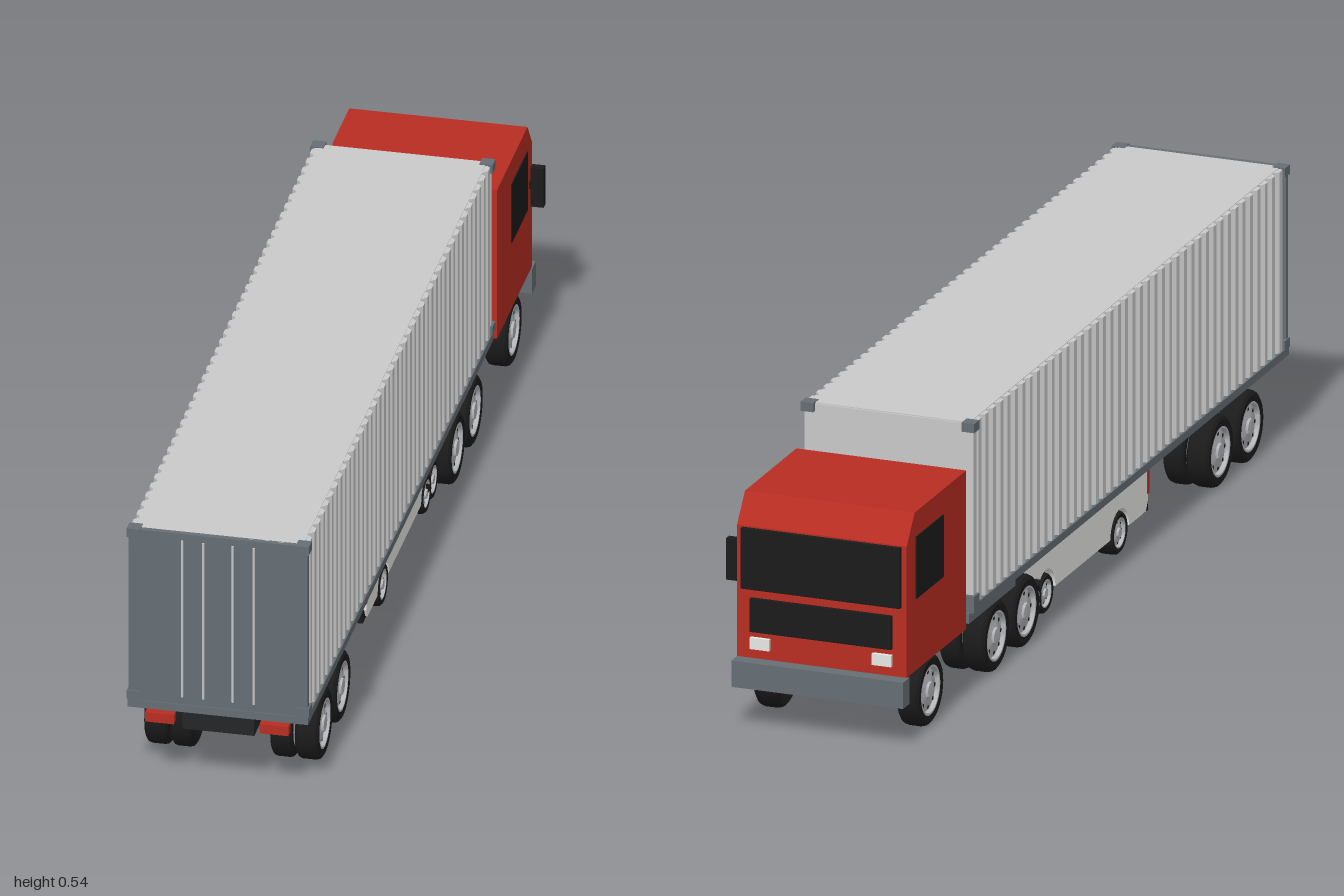
import * as THREE from 'three';
import { toCreasedNormals } from 'three/addons/utils/BufferGeometryUtils.js';

const mat = (name, color) => new THREE.MeshStandardMaterial({ name, color });

export function createModel() {
  const M = {
    light: mat('containerGrey', 0xc9c9c9), slate: mat('slateGrey', 0x666e74),
    red: mat('cabRed', 0xb82d22), black: mat('rubberBlack', 0x1b1b1b),
    dark: mat('chassisBlack', 0x242628), silver: mat('wheelSilver', 0xb4b6ba),
    white: mat('busWhite', 0xeeeeec), blue: mat('stripeBlue', 0x2a68a8),
  };
  const model = new THREE.Group();
  model.name = 'containerTruck';
  const truck = new THREE.Group();
  truck.name = 'truck';
  truck.position.x = -0.0135; // the single mirror shifts the body off centre
  model.add(truck);

  const add = (name, geo, m, parent = truck) => {
    const mesh = new THREE.Mesh(geo, m);
    mesh.name = name;
    parent.add(mesh);
    return mesh;
  };
  // box given by its limits on each axis
  const box = (name, m, x0, x1, y0, y1, z0, z1) => {
    const g = new THREE.BoxGeometry(x1 - x0, y1 - y0, z1 - z0);
    g.translate((x0 + x1) / 2, (y0 + y1) / 2, (z0 + z1) / 2);
    return add(name, g, m);
  };
  // the same box on both sides
  const pair = (name, m, x0, x1, ...yz) => {
    box(name + 'Left', m, x0, x1, ...yz);
    box(name + 'Right', m, -x1, -x0, ...yz);
  };
  const shapeOf = pts => new THREE.Shape(pts.map(p => new THREE.Vector2(...p)));
  // side profile in (z, y), extruded across the width
  const across = (shape, half) => {
    const g = new THREE.ExtrudeGeometry(shape, { depth: half * 2, bevelEnabled: false, curveSegments: 12 });
    return g.translate(0, 0, -half).rotateY(-Math.PI / 2);
  };

  // ---------- wheels ----------
  const wheel = (name, side, x, y, z, r, w) => {
    const g = new THREE.Group();
    g.name = name;
    g.position.set(side * x, y, z);
    g.rotation.z = -side * Math.PI / 2;
    truck.add(g);
    const lathe = pts => toCreasedNormals(
      new THREE.LatheGeometry(pts.map(p => new THREE.Vector2(p[0] * r, p[1] * w)), 32), 0.6);
    add('tyre', lathe([[0, -0.42], [0.6, -0.42], [0.66, -0.48], [0.88, -0.5], [0.97, -0.4], [1, -0.25],
      [1, 0.25], [0.97, 0.4], [0.88, 0.5], [0.7, 0.48]]), M.black, g);
    add('rim', lathe([[0.7, 0.48], [0.64, 0.48], [0.6, 0.3], [0.36, 0.36], [0.24, 0.4],
      [0.22, 0.5], [0, 0.52]]), M.silver, g);
    for (let i = 0; i < 8; i++) {
      const a = i * Math.PI / 4;
      const hole = add('rimHole', new THREE.CircleGeometry(r * 0.06, 10).rotateX(-Math.PI / 2), M.dark, g);
      hole.position.set(Math.cos(a) * r * 0.49, w * 0.36, Math.sin(a) * r * 0.49);
    }
  };
  const axle = (name, y, z, half, r) => {
    add(name, new THREE.CylinderGeometry(r, r, half * 2, 12).rotateZ(Math.PI / 2), M.dark).position.set(0, y, z);
  };
  const R = 0.071;
  for (const z of [0.81, 0.655, -0.345, -0.5, -0.84]) {
    axle('axle', R, z, 0.13, 0.014);
    for (const s of [1, -1]) {
      wheel('outerWheel', s, 0.147, R, z, R, 0.046);
      if (z > -0.6) wheel('innerWheel', s, 0.0975, R, z, R, 0.043);
    }
  }

  // ---------- trailer ----------
  box('deck', M.slate, -0.176, 0.176, 0.16, 0.176, -0.635, 0.99);
  box('chassisBeam', M.dark, -0.07, 0.07, 0.122, 0.16, -0.66, 0.985);
  pair('frontRail', M.slate, 0.149, 0.168, 0.14, 0.16, -0.64, -0.4);
  pair('tailLight', M.red, 0.0835, 0.14, 0.137, 0.157, 0.982, 1);

  // ---------- container ----------
  box('containerBody', M.light, -0.164, 0.164, 0.176, 0.542, -0.627, 0.98);
  box('containerFrontWall', M.light, -0.173, 0.173, 0.176, 0.54, -0.63, -0.615);
  box('containerDoors', M.slate, -0.175, 0.175, 0.176, 0.542, 0.977, 0.988);
  for (const x of [-0.07, -0.0285, 0.0285, 0.07])
    add('lockingBar', new THREE.CylinderGeometry(0.0025, 0.0025, 0.336, 8), M.light).position.set(x, 0.36, 0.989);

  // corrugated side walls: trapezoid ribs swept upward
  const ribs = 42, z0 = -0.795, pitch = 1.59 / ribs;
  const profile = [[z0, 0]];
  for (let i = 0; i < ribs; i++)
    for (const [t, d] of [[0.08, 0.002], [0.3, 0.011], [0.7, 0.011], [0.92, 0.002]])
      profile.push([z0 + (i + t) * pitch, d]);
  profile.push([-z0, 0]);
  for (const s of [1, -1]) {
    const g = new THREE.ExtrudeGeometry(shapeOf(profile), { depth: 0.365, bevelEnabled: false });
    g.rotateX(-Math.PI / 2).rotateY(-s * Math.PI / 2).translate(s * 0.163, 0.176, 0.177);
    add('corrugatedWall', g, M.light);
  }
  for (const [a, b] of [[-0.638, -0.612], [0.965, 0.991]])
    for (const [c, d] of [[0.177, 0.195], [0.525, 0.5435]])
      pair('cornerCasting', M.slate, 0.152, 0.178, c, d, a, b);

  // ---------- cab ----------
  add('cab', across(shapeOf([[-0.67, 0.14], [-0.67, 0.46], [-0.935, 0.46], [-0.976, 0.405],
    [-0.976, 0.14]].reverse()), 0.174), M.red);
  box('windscreen', M.black, -0.163, 0.163, 0.28, 0.402, -0.985, -0.976);
  box('grille', M.black, -0.145, 0.145, 0.195, 0.262, -0.985, -0.976);
  pair('headlight', M.white, 0.105, 0.145, 0.16, 0.183, -0.984, -0.976);
  pair('sideWindow', M.black, 0.173, 0.1765, 0.285, 0.41, -0.93, -0.79);
  box('bumper', M.slate, -0.176, 0.176, 0.085, 0.138, -1, -0.966);
  box('bumperMount', M.dark, -0.1, 0.1, 0.12, 0.142, -0.97, -0.93);
  box('mirror', M.black, 0.178, 0.2035, 0.285, 0.368, -0.96, -0.943);
  box('mirrorArm', M.black, 0.17, 0.18, 0.32, 0.335, -0.955, -0.948);
  box('airUnit', M.dark, -0.085, 0.085, 0.343, 0.437, -0.672, -0.628);

  // ---------- coach under the trailer ----------
  const axles = [-0.245, -0.185, 0.195];
  const W = 0.145, wy = 0.052;
  const coach = new THREE.Shape();
  coach.moveTo(-0.325, 0.07);
  coach.lineTo(-0.305, wy);
  coach.lineTo(-0.295, wy);
  coach.absarc(-0.245, wy, 0.048, Math.PI, 0.9, true);
  coach.absarc(-0.185, wy, 0.048, Math.PI - 0.9, 0, true);
  coach.lineTo(0.147, wy);
  coach.absarc(0.195, wy, 0.048, Math.PI, 0, true);
  coach.lineTo(0.33, wy);
  coach.lineTo(0.34, 0.07);
  coach.lineTo(0.34, 0.168);
  coach.lineTo(-0.325, 0.168);
  coach.closePath();
  add('coachBody', across(coach, W), M.white);
  pair('coachStripe', M.blue, W - 0.001, W + 0.002, 0.146, 0.16, -0.322, 0.335);
  pair('coachTrim', M.dark, W - 0.001, W + 0.001, 0.141, 0.1435, -0.3, 0.31);
  pair('coachTailLight', M.red, 0.128, 0.146, 0.085, 0.14, 0.335, 0.345);
  box('coachRearBumper', M.black, -0.14, 0.14, 0.047, 0.07, 0.32, 0.352);
  box('coachFrontBumper', M.black, -0.13, 0.13, 0.055, 0.075, -0.332, -0.31);
  box('coachFloor', M.silver, -0.125, 0.125, 0.048, 0.053, -0.13, 0.14);
  // plate frame on the coach tail
  for (const y of [0.08, 0.0965]) box('plateFrameEdge', M.silver, -0.031, 0.031, y, y + 0.0015, 0.339, 0.342);
  pair('plateFrameSide', M.silver, 0.0295, 0.031, 0.08, 0.098, 0.339, 0.342);
  for (const z of axles) {
    axle('coachAxle', wy, z, 0.12, 0.01);
    for (const s of [1, -1]) wheel('coachWheel', s, 0.126, wy, z, z > 0 ? 0.043 : 0.04, 0.04);
  }
  return model;
}
